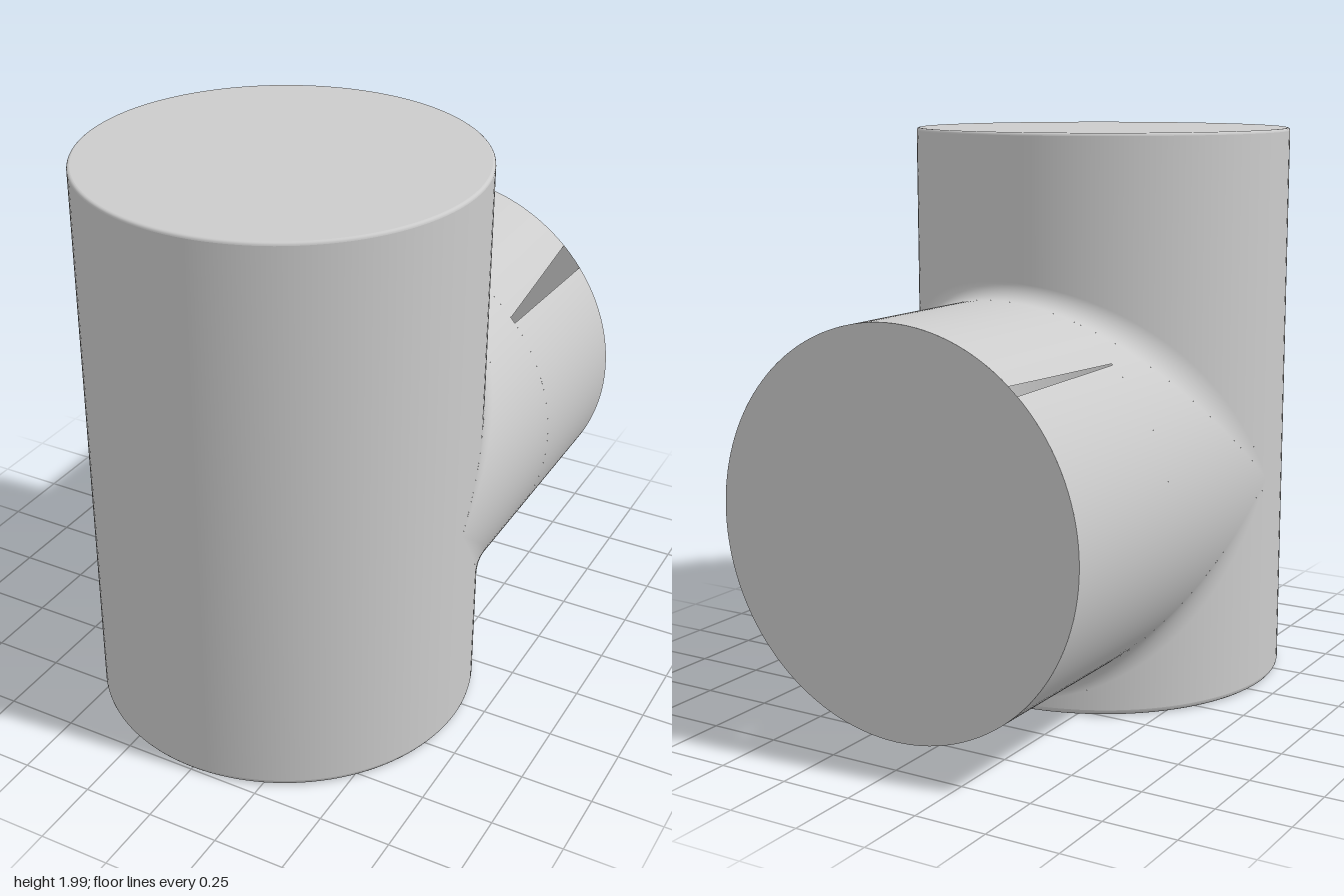
import * as THREE from 'three';
import { ParametricGeometry } from 'three/addons/geometries/ParametricGeometry.js';

const R = 0.67;            // radius of both pipes
const H = 1.985;           // height of the upright pipe
const ZC = 0.33;           // axis of the upright pipe
const YC = 0.765;          // axis of the branch pipe
const RIM = 0.02;          // rounding of the upright's ends
const SLEEVE = -0.41;      // where the slits start
const HALF = Math.PI / 2 - 0.001;
const lerp = THREE.MathUtils.lerp;

// Fillet radius grows from the crotch towards the flanks
const filletRadius = (c) => 0.055 + 0.2 * (1 - c);
const reach = (t) => {
  const c = Math.abs(Math.cos(t));
  return (R + filletRadius(c)) * c;
};

export function createModel() {
  const group = new THREE.Group();
  const material = new THREE.MeshStandardMaterial({ color: 0xcccccc, side: THREE.DoubleSide });

  const add = (name, geometry) => {
    const mesh = new THREE.Mesh(geometry, material);
    mesh.name = name;
    group.add(mesh);
    return mesh;
  };
  const surface = (name, fn, nu, nv) => add(name, new ParametricGeometry(fn, nu, nv));

  // Strip of the upright wall between two angles (measured from the back)
  const wall = (name, from, to, low, high) => surface(name, (u, v, p) => {
    const a = lerp(from, to, u);
    p.set(R * Math.sin(a), lerp(low(a), high(a), v), ZC - R * Math.cos(a));
  }, 64, 4);
  const bottom = () => RIM, top = () => H - RIM / 2;
  wall('uprightFront', 1.5 * Math.PI, Math.PI / 2, bottom, top);
  wall('uprightBackUpper', Math.PI / 2, -Math.PI / 2, (a) => YC + reach(a), top);
  wall('uprightBackLower', Math.PI / 2, -Math.PI / 2, bottom, (a) => YC - reach(a));

  // Rounded rims and flat ends of the upright
  const rim = (name, y, dir, r) => {
    const points = [];
    for (let i = 0; i <= 4; i++) {
      const a = (i / 4) * Math.PI / 2;
      points.push(new THREE.Vector2(R - r + r * Math.cos(a), y - dir * r * (1 - Math.sin(a))));
    }
    if (dir < 0) points.reverse();
    add(name, new THREE.LatheGeometry(points, 128)).position.z = ZC;
    const cap = add(name + 'Cap', new THREE.CircleGeometry(R - r, 128));
    cap.rotation.x = -dir * Math.PI / 2;
    cap.position.set(0, y, ZC);
  };
  rim('topRim', H, 1, RIM / 2);
  rim('bottomRim', 0, -1, RIM);

  // Fillets between the pipes, above and below the branch
  const axis = new THREE.Vector3(), d1 = new THREE.Vector3(), d2 = new THREE.Vector3();
  for (const s of [1, -1]) {
    surface(s > 0 ? 'upperFillet' : 'lowerFillet', (u, v, p) => {
      const t = lerp(-HALF, HALF, u) * s;
      const sin = Math.sin(t), c = Math.cos(t), f = filletRadius(c);
      axis.set((R + f) * sin, YC + s * (R + f) * c, ZC - (R + f) * c);
      d1.set(-sin, 0, c);
      d2.set(-sin, -s * c, 0);
      p.copy(d1.lerp(d2, v).normalize().multiplyScalar(f).add(axis));
    }, 96, 10);
  }

  // Branch root, from the fillets to the start of the slits
  surface('branchRoot', (u, v, p) => {
    const t = u * Math.PI * 2;
    p.set(R * Math.sin(t), YC + R * Math.cos(t), lerp(ZC - reach(t), SLEEVE, v));
  }, 128, 6);

  // Slits: angles of both edges at the inner end, then at the open end
  const slits = [
    { inner: [0.845, 0.882], outer: [0.765, 0.92] },
    { inner: [2.405, 2.412], outer: [2.391, 2.472] },
    { inner: [5.542, 5.55], outer: [5.526, 5.586] },
  ];
  // Branch sleeve, in strips from one slit to the next
  slits.forEach((slit, i) => {
    const next = slits[(i + 1) % slits.length];
    const turn = i === slits.length - 1 ? Math.PI * 2 : 0;
    surface('branchSleeve', (u, v, p) => {
      const from = lerp(slit.inner[1], slit.outer[1], v);
      const to = lerp(next.inner[0], next.outer[0], v) + turn;
      const t = lerp(from, to, u);
      p.set(R * Math.sin(t), YC + R * Math.cos(t), lerp(SLEEVE, -1, v));
    }, 64, 4);
  });

  // Flat end of the branch
  const end = add('branchCap', new THREE.CircleGeometry(R, 128));
  end.rotation.y = Math.PI;
  end.position.set(0, YC, -1);

  return group;
}
